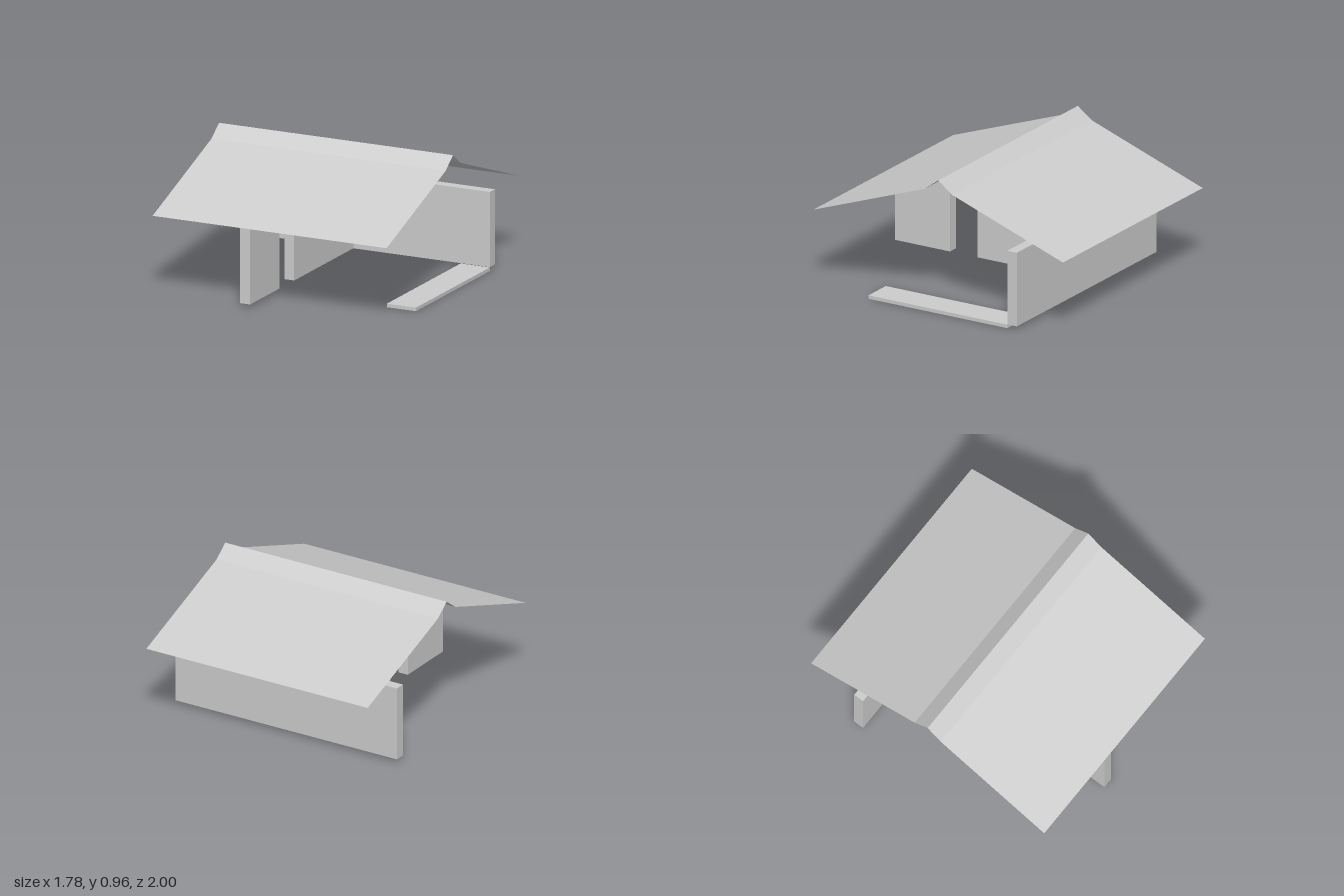
import * as THREE from 'three';

const HALF_WIDTH = 0.888;
const WALL_BASE = 0.027;
const EAVE = 0.557;

export function createModel() {
  const group = new THREE.Group();
  group.name = 'openShelter';

  const plaster = new THREE.MeshStandardMaterial({ color: 0xcccccc, side: THREE.DoubleSide });
  plaster.name = 'pale grey';

  // Axis-aligned block given by its extents
  function block(name, [x0, x1], [y0, y1], [z0, z1]) {
    const mesh = new THREE.Mesh(new THREE.BoxGeometry(x1 - x0, y1 - y0, z1 - z0), plaster);
    mesh.position.set((x0 + x1) / 2, (y0 + y1) / 2, (z0 + z1) / 2);
    mesh.name = name;
    group.add(mesh);
  }

  // Thin sheet spanning the full width between two (z, y) profile points
  function roofSheet(name, [za, ya], [zb, yb]) {
    const geometry = new THREE.BufferGeometry();
    const corners = [
      -HALF_WIDTH, ya, za, HALF_WIDTH, ya, za,
      HALF_WIDTH, yb, zb, -HALF_WIDTH, yb, zb,
    ];
    geometry.setAttribute('position', new THREE.Float32BufferAttribute(corners, 3));
    geometry.setIndex([0, 1, 2, 0, 2, 3]);
    geometry.computeVertexNormals();
    const mesh = new THREE.Mesh(geometry, plaster);
    mesh.name = name;
    group.add(mesh);
  }

  // Walls: full-width back wall and a cross wall with a doorway gap
  const wallHeight = [WALL_BASE, EAVE];
  const crossWall = [-0.223, -0.148];
  block('backWall', [-HALF_WIDTH, HALF_WIDTH], wallHeight, [-0.63, -0.554]);
  block('crossWall', crossWall, wallHeight, [-0.554, 0.336]);
  block('frontPier', crossWall, wallHeight, [0.558, 1]);

  // Low walkway slab along the left side
  block('floorSlab', [0.667, HALF_WIDTH], [0, 0.025], [-0.554, 0.558]);

  // Roof: shallow slopes rising to steeper ridge strips
  const profile = [[1, EAVE], [0.112, 0.875], [0, 0.958], [-0.112, 0.875], [-1, EAVE]];
  const names = ['frontRoofSlope', 'frontRidgeStrip', 'backRidgeStrip', 'backRoofSlope'];
  names.forEach((name, i) => roofSheet(name, profile[i], profile[i + 1]));

  return group;
}
